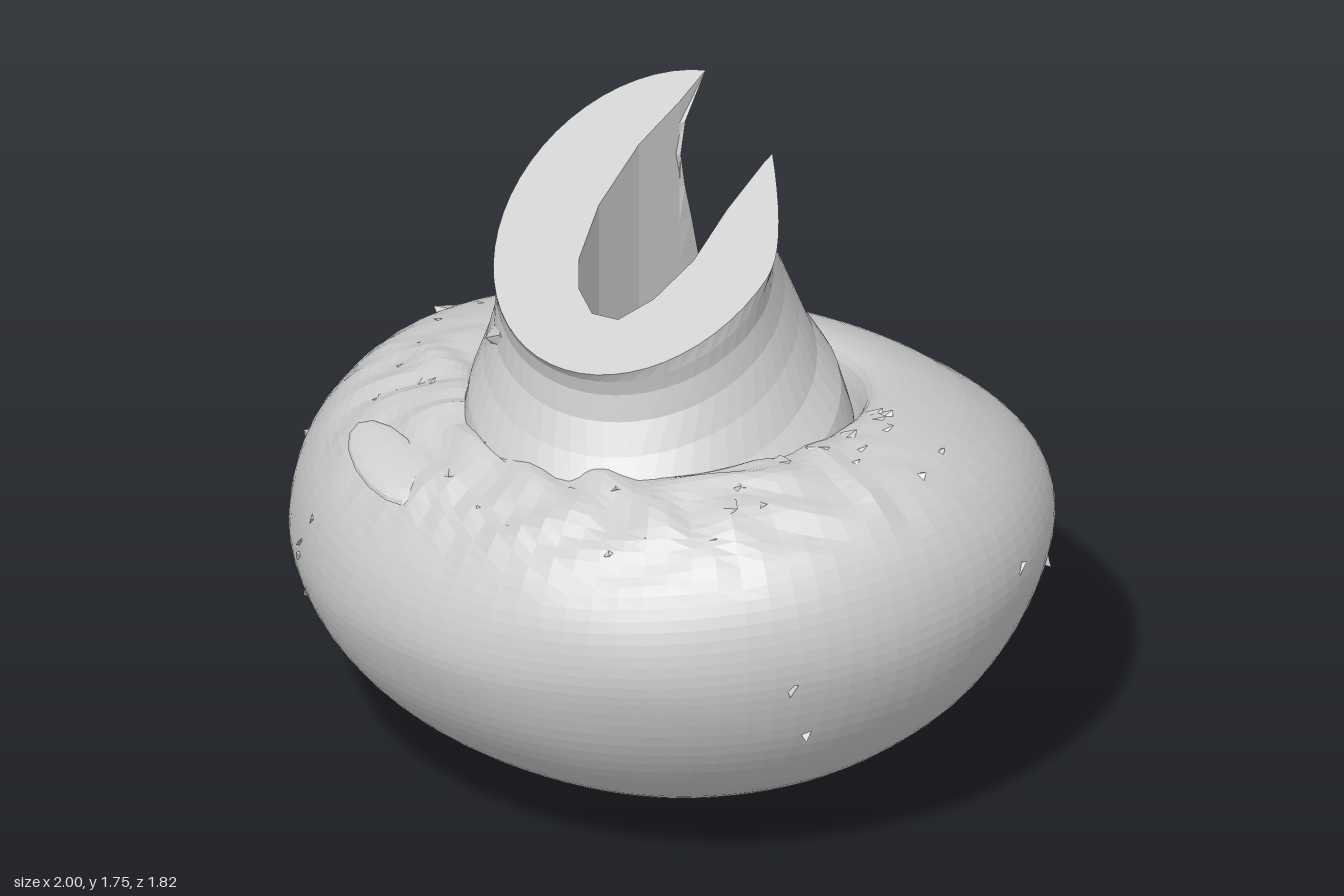
import * as THREE from 'three';

const material = new THREE.MeshStandardMaterial({ color: 0xcccccc, flatShading: true, side: THREE.DoubleSide });
const clamp = THREE.MathUtils.clamp;

// Small seeded generator for the weathering
let seed = 7;
const rand = () => (seed = (seed * 16807) % 2147483647) / 2147483647;

// Body profile (radius, height): belly, shoulder, rim, then the crater round the neck
const profile = new THREE.SplineCurve([
  [0, 0.005], [0.2, 0.015], [0.42, 0.07], [0.63, 0.17], [0.8, 0.29], [0.92, 0.43], [0.985, 0.57],
  [1, 0.69], [0.97, 0.82], [0.9, 0.93], [0.8, 1.01], [0.68, 1.055], [0.57, 1.065], [0.51, 1.03],
  [0.46, 0.89], [0.3, 0.83], [0, 0.83],
].map(([r, y]) => new THREE.Vector2(r, y)));

// Oval plan; shoulder leans up to the left and sags at front and back, creased at the front
function shapeBody(p) {
  const { x, y } = p;
  const z = p.z * 0.91;
  const high = clamp((y - 0.6) / 0.4, 0, 1);
  const crease = clamp((y - 0.88) / 0.12, 0, 1) * clamp((z + 0.1) / 0.4, 0, 1);
  const ripple = Math.sin(x * 23 + Math.sin(z * 17) * 2) * Math.sin(z * 19 + x * 9);
  const lean = (0.09 - 0.015 * high) * clamp(y / 0.69, 0, 1);
  const grain = 0.003 * Math.sin(x * 9 + y * 7) * Math.sin(z * 8 - y * 5);
  return p.set(
    x * (1 + grain),
    Math.max(0, y + x * lean + (0.07 * z - 0.15 * z * z) * high + crease * ripple * 0.015),
    z * (1 + grain),
  );
}

function makeBody() {
  const geometry = new THREE.LatheGeometry(profile.getPoints(64), 88);
  const pos = geometry.attributes.position;
  const p = new THREE.Vector3();
  for (let i = 0; i < pos.count; i++) {
    shapeBody(p.fromBufferAttribute(pos, i));
    pos.setXYZ(i, p.x, p.y, p.z);
  }
  geometry.computeVertexNormals();
  return geometry;
}

// Neck: C-shaped sections rising from the crater to a slanted, slotted rim
const slot = [[-0.15, -0.24], [-0.175, -0.1], [-0.17, 0.08], [-0.13, 0.22], [-0.08, 0.29],
  [-0.01, 0.33], [0.06, 0.315], [0.11, 0.23], [0.14, 0.1], [0.135, -0.05], [0.145, -0.2]];
const levels = [ // share of height, centre x, half width, front z, back z
  [0, 0.02, 0.53, 0.62, -0.42], [0.25, 0.025, 0.52, 0.63, -0.38], [0.37, 0.03, 0.475, 0.61, -0.36],
  [0.47, 0, 0.435, 0.58, -0.33], [0.6, -0.015, 0.395, 0.52, -0.3], [0.72, -0.025, 0.37, 0.475, -0.27],
  [0.84, -0.03, 0.36, 0.46, -0.25], [0.93, -0.03, 0.365, 0.47, -0.27], [1, -0.03, 0.37, 0.49, -0.36],
];

function makeNeck() {
  const steps = 48;
  const base = 0.81;
  const positions = [];
  const index = [];
  let outline = [];
  for (const [t, cx, rx, front, back] of levels) {
    const start = -Math.PI + Math.asin((cx + 0.14) / rx);
    const end = Math.PI - Math.asin((0.15 - cx) / rx);
    outline = [];
    for (let i = 0; i <= steps; i++) {
      const a = start + (end - start) * i / steps;
      const x = cx + rx * Math.sin(a);
      const cutBack = 0.6 * Math.max(0, x) * Math.max(0, -Math.cos(a)) * t ** 8; // shorter left horn
      outline.push([x, (front + back) / 2 + (front - back) / 2 * Math.cos(a) + cutBack]);
    }
    outline.push(...slot.slice().reverse());
    for (const [x, z] of outline) {
      const rim = 1.57 - 0.5 * z - 0.12 * x;
      positions.push(x, base + (rim - base) * t, z);
    }
  }
  const n = outline.length;
  for (let k = 0; k < levels.length - 1; k++) {
    for (let i = 0; i < n; i++) {
      const a = k * n + i;
      const b = k * n + (i + 1) % n;
      index.push(a, b, b + n, a, b + n, a + n);
    }
  }
  // Flat slanted rim
  const top = (levels.length - 1) * n;
  const contour = outline.map(([x, z]) => new THREE.Vector2(x, -z));
  for (const face of THREE.ShapeUtils.triangulateShape(contour, [])) index.push(...face.map((i) => i + top));
  const geometry = new THREE.BufferGeometry();
  geometry.setAttribute('position', new THREE.Float32BufferAttribute(positions, 3));
  geometry.setIndex(index);
  geometry.computeVertexNormals();
  return geometry;
}

export function createModel() {
  const model = new THREE.Group();
  const add = (name, geometry, parent = model) => {
    const mesh = new THREE.Mesh(geometry, material);
    mesh.name = name;
    parent.add(mesh);
    return mesh;
  };
  add('body', makeBody());
  add('neck', makeNeck());

  // Raised flake on the front shoulder
  const flake = add('shoulderFlake', new THREE.SphereGeometry(1, 14, 8));
  flake.scale.set(0.17, 0.022, 0.08);
  flake.position.set(-0.43, 0.965, 0.63);
  flake.rotation.set(0.4, -0.5, 0);

  // Broken skin on the front of the neck
  const lump = add('neckLump', new THREE.TetrahedronGeometry(0.09, 1));
  lump.position.set(-0.28, 1.25, 0.33);
  lump.scale.set(1.1, 0.7, 0.6);
  lump.rotation.y = -0.7;

  // Chips set into the skin: sparse on the belly, flat shards on the front shoulder
  const chips = new THREE.Group();
  chips.name = 'surfaceChips';
  model.add(chips);
  for (let i = 0; i < 60; i++) {
    const shard = i >= 22;
    const t = shard ? 0.61 + 0.14 * rand() : 0.2 + 0.32 * rand();
    const a = shard ? (rand() - 0.5) * 3.6 : rand() * Math.PI * 2;
    const at = profile.getPoint(t);
    const chip = add('chip', new THREE.TetrahedronGeometry(0.024), chips);
    chip.position.copy(shapeBody(new THREE.Vector3(at.x * Math.sin(a), at.y, at.x * Math.cos(a))));
    chip.position.multiplyScalar(0.993);
    chip.rotation.set(rand() * 0.4, a + rand() - 0.5, rand() * 0.4);
    if (shard) chip.scale.set(1 + rand() * 1.8, 0.5, 1 + rand());
  }
  return model;
}
